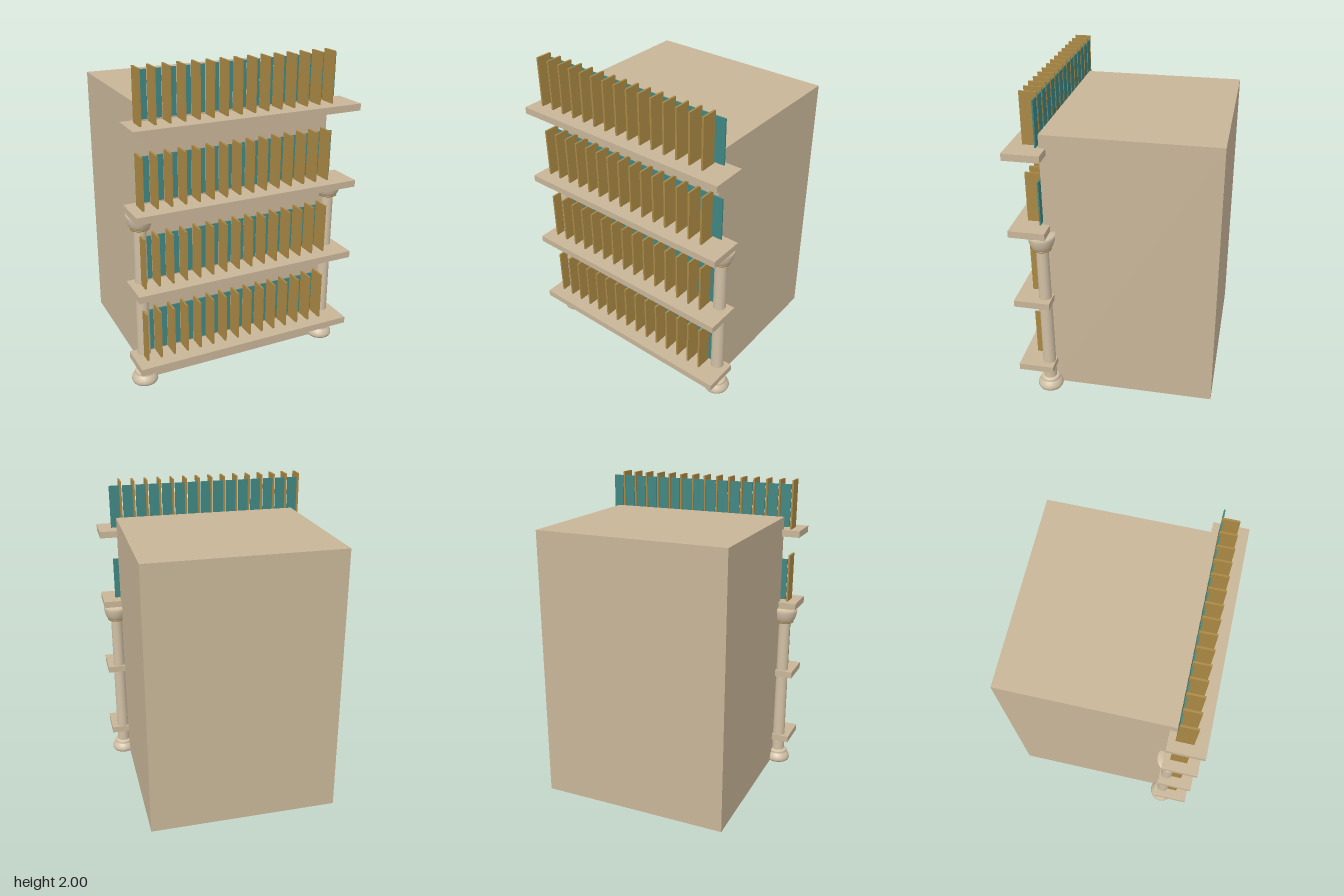
import * as THREE from 'three';

const paint = (name, color) => {
  const m = new THREE.MeshStandardMaterial({ color });
  m.name = name;
  return m;
};

export function createModel() {
  const stone = paint('tan stone', 0xc8b598);
  const paleStone = paint('pale stone', 0xd0bfa4);
  const gold = paint('bronze', 0xaa8844);
  const teal = paint('teal glass', 0x3f8682);
  const model = new THREE.Group();
  model.name = 'building';

  // Box given by its lower and upper corners
  const box = (parent, name, mat, [x0, y0, z0], [x1, y1, z1]) => {
    const mesh = new THREE.Mesh(new THREE.BoxGeometry(x1 - x0, y1 - y0, z1 - z0), mat);
    mesh.position.set((x0 + x1) / 2, (y0 + y1) / 2, (z0 + z1) / 2);
    mesh.name = name;
    parent.add(mesh);
  };

  box(model, 'mainBlock', stone, [-0.613, 0, -0.62], [0.613, 1.762, 0.435]);

  // Four storeys: slab, upright fins and a window pane beside each fin
  for (let s = 0; s < 4; s++) {
    const top = 0.199 + s * 0.4945;
    const storey = new THREE.Group();
    storey.name = 'storey' + (s + 1);
    model.add(storey);
    box(storey, 'slab', stone, [-0.73, top - 0.043, 0.395], [0.73, top, 0.62]);
    for (let i = 0; i < 15; i++) {
      const x = -0.659 + i * 0.088;
      box(storey, 'fin', gold, [x - 0.006, top, 0.437], [x + 0.006, top + 0.318, 0.542]);
      box(storey, 'windowPane', teal, [x + 0.01, top + 0.014, 0.438], [x + 0.076, top + 0.292, 0.447]);
    }
  }

  // Corner columns: turned base, slightly tapered shaft, cup capital
  const profile = (pairs) => pairs.map(([r, y]) => new THREE.Vector2(r, y));
  const base = profile([[0, 0], [0.078, 0], [0.083, 0.012], [0.081, 0.026], [0.074, 0.042],
    [0.063, 0.056], [0.06, 0.06], [0.062, 0.068], [0.058, 0.076], [0.042, 0.08]]);
  const capital = profile([[0.042, 1.04], [0.058, 1.052], [0.069, 1.07], [0.077, 1.095],
    [0.081, 1.12], [0.082, 1.146], [0, 1.146]]);
  for (const side of [-1, 1]) {
    const column = new THREE.Group();
    column.name = side > 0 ? 'leftColumn' : 'rightColumn';
    column.position.set(side * 0.65, 0, 0.44);
    model.add(column);
    const add = (name, geo, mat, y = 0) => {
      const mesh = new THREE.Mesh(geo, mat);
      mesh.name = name;
      mesh.position.y = y;
      column.add(mesh);
      return mesh;
    };
    add('columnBase', new THREE.LatheGeometry(base, 28), paleStone);
    add('shaft', new THREE.CylinderGeometry(0.038, 0.042, 0.98, 28, 1, true), paleStone, 0.565);
    add('capital', new THREE.LatheGeometry(capital, 28), paleStone);
    add('neckRing', new THREE.TorusGeometry(0.054, 0.006, 8, 28), gold, 1.048).rotation.x = Math.PI / 2;
  }
  return model;
}
